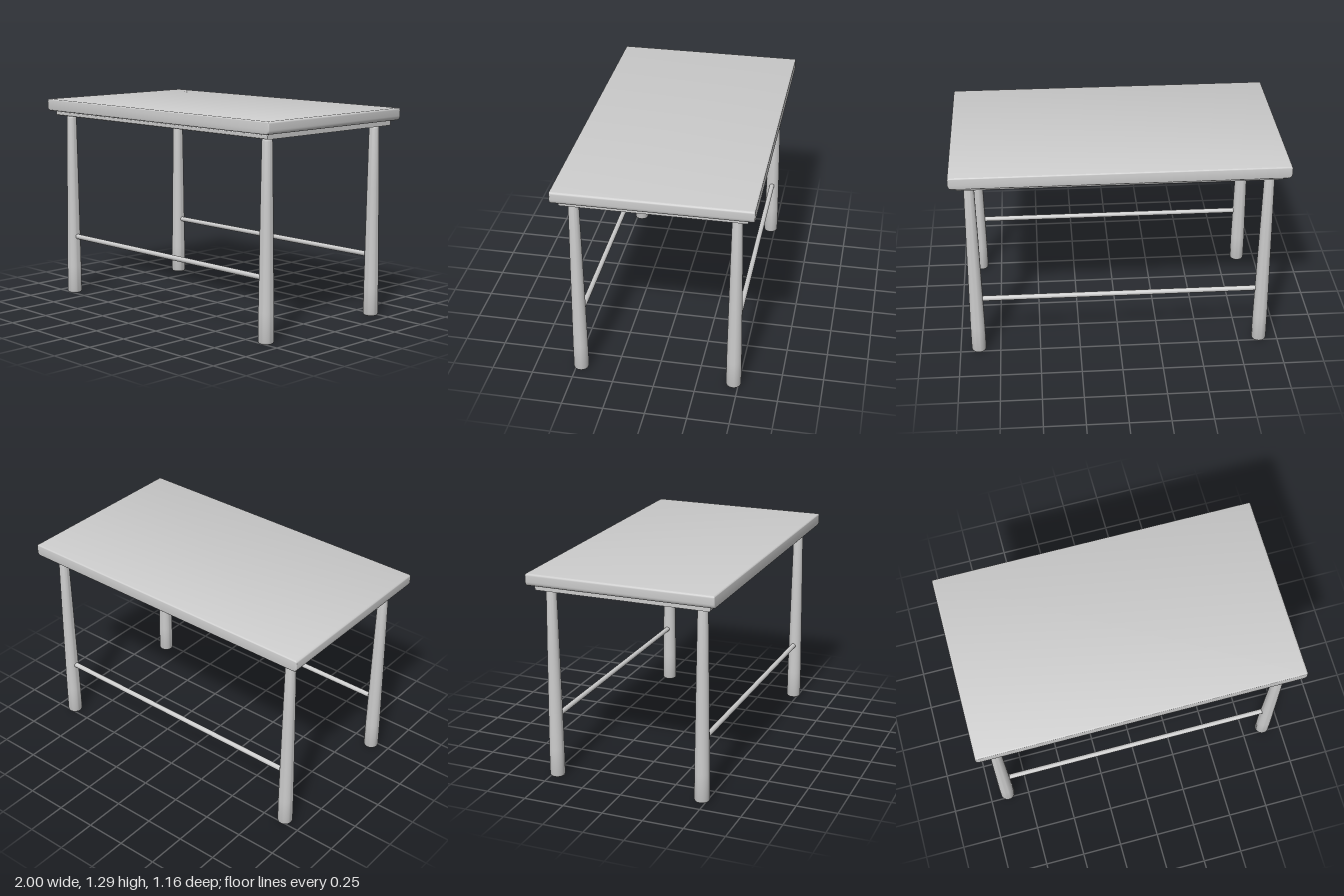
import * as THREE from 'three';
import { toCreasedNormals } from 'three/addons/utils/BufferGeometryUtils.js';

// Rectangle outline with separate corner radii for its top and bottom
function roundedProfile(w, h, rTop, rBottom) {
  const x = w / 2, y = h / 2, s = new THREE.Shape();
  s.moveTo(-x + rBottom, -y);
  s.lineTo(x - rBottom, -y);
  s.quadraticCurveTo(x, -y, x, -y + rBottom);
  s.lineTo(x, y - rTop);
  s.quadraticCurveTo(x, y, x - rTop, y);
  s.lineTo(-x + rTop, y);
  s.quadraticCurveTo(-x, y, -x, y - rTop);
  s.lineTo(-x, -y + rBottom);
  s.quadraticCurveTo(-x, -y, -x + rBottom, -y);
  return s;
}

// Profile extruded along z, centred, with a small bevel inside the given size
function slab(w, h, depth, rTop, rBottom, bevel) {
  const g = new THREE.ExtrudeGeometry(
    roundedProfile(w - 2 * bevel, h - 2 * bevel, rTop, rBottom),
    {
      depth: depth - 2 * bevel, curveSegments: 5, bevelEnabled: bevel > 0,
      bevelThickness: bevel, bevelSize: bevel, bevelSegments: 3,
    });
  g.translate(0, 0, -(depth - 2 * bevel) / 2);
  return toCreasedNormals(g, 0.6);
}

export function createModel() {
  const group = new THREE.Group();
  const grey = new THREE.MeshStandardMaterial({ color: 0xcccccc });
  grey.name = 'light grey';

  const add = (name, geometry, x, y, z) => {
    const mesh = new THREE.Mesh(geometry, grey);
    mesh.name = name;
    mesh.position.set(x, y, z);
    group.add(mesh);
    return mesh;
  };

  // Thick top, softened more under its two ends
  add('tableTop', slab(2, 0.075, 1.16, 0.006, 0.02, 0.008), 0, 1.2525, 0);

  // Thin board under the top, rounded along its long edges
  const board = slab(1.08, 0.028, 1.91, 0.01, 0.01, 0);
  board.rotateY(Math.PI / 2);
  add('underBoard', board, 0, 1.198, 0);
  add('spacer', new THREE.BoxGeometry(1.86, 0.012, 1.02), 0, 1.214, 0);

  // Tapered round legs with softened ends
  const legProfile = [
    [0, 0], [0.038, 0], [0.043, 0.003], [0.046, 0.011], [0.0455, 0.18],
    [0.037, 0.8], [0.031, 1.165], [0.029, 1.178], [0.023, 1.185], [0, 1.185],
  ].map(([r, y]) => new THREE.Vector2(r, y));
  const leg = toCreasedNormals(new THREE.LatheGeometry(legProfile, 32), 0.7);

  // Long stretcher between the legs of each side
  const stretcher = new THREE.CylinderGeometry(0.016, 0.016, 1.72, 20);
  stretcher.rotateZ(Math.PI / 2);

  for (const [side, z] of [['front', 0.47], ['back', -0.47]]) {
    add(side + 'LeftLeg', leg, 0.885, 0, z);
    add(side + 'RightLeg', leg, -0.885, 0, z);
    add(side + 'Stretcher', stretcher, 0, 0.38, z);
  }
  return group;
}
